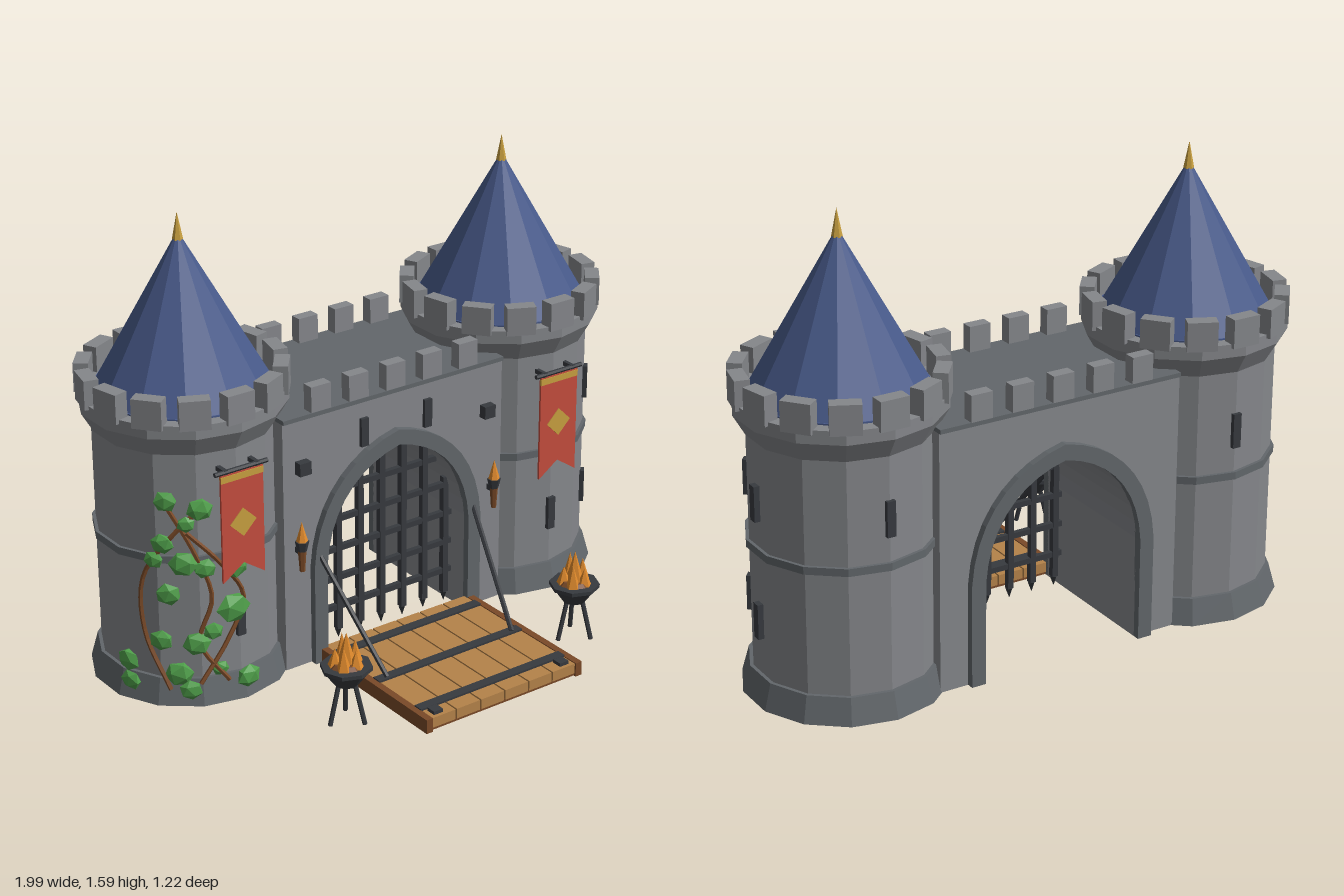
import * as THREE from 'three';

const mat = (name, color) => {
  const m = new THREE.MeshStandardMaterial({ color });
  m.name = name;
  return m;
};

export function createModel() {
  const stone = mat('stone', 0x85878b), darkStone = mat('darkStone', 0x62676b), iron = mat('iron', 0x373a3f);
  const blue = mat('roofBlue', 0x485a8a), gold = mat('gold', 0xc9a040), red = mat('bannerRed', 0xc54d3e);
  const wood = mat('wood', 0xb5834a), darkWood = mat('darkWood', 0x7a4a28);
  const green = mat('leafGreen', 0x4f9f4a), orange = mat('flameOrange', 0xe08a2c);
  const V = (x, y, z) => new THREE.Vector3(x, y, z);
  const root = new THREE.Group();
  root.name = 'castleGate';

  // Faceted mesh helper
  const add = (parent, name, geo, material, x = 0, y = 0, z = 0) => {
    const g = geo.index ? geo.toNonIndexed() : geo;
    g.computeVertexNormals();
    const m = new THREE.Mesh(g, material);
    m.name = name;
    m.position.set(x, y, z);
    parent.add(m);
    return m;
  };
  const box = (p, name, material, w, h, d, x, y, z) =>
    add(p, name, new THREE.BoxGeometry(w, h, d), material, x, y, z);
  // Cylinder given by bottom and top heights
  const cyl = (p, name, material, r0, r1, y0, y1, n, x = 0, z = 0) =>
    add(p, name, new THREE.CylinderGeometry(r1, r0, y1 - y0, n), material, x, (y0 + y1) / 2, z);
  const rod = (p, name, material, a, b, r, n = 6) => {
    const m = add(p, name, new THREE.CylinderGeometry(r, r, a.distanceTo(b), n), material);
    m.position.copy(a).lerp(b, 0.5);
    m.quaternion.setFromUnitVectors(V(0, 1, 0), b.clone().sub(a).normalize());
    return m;
  };
  const group = (name, x, y, z, parent = root) => {
    const g = new THREE.Group();
    g.name = name;
    g.position.set(x, y, z);
    parent.add(g);
    return g;
  };

  // Pointed arch path, up the right jamb and down the left one
  const archPoints = (w, h) => {
    const s = 0.36, k = h - s;
    const c = new THREE.CubicBezierCurve(new THREE.Vector2(w, s), new THREE.Vector2(w * 0.96, s + k * 0.54),
      new THREE.Vector2(w * 0.58, s + k * 0.9), new THREE.Vector2(0, h)).getPoints(9);
    const right = [new THREE.Vector2(w, 0), ...c];
    return [...right, ...right.slice(0, -1).reverse().map(p => new THREE.Vector2(-p.x, p.y))];
  };
  const extrude = (pts, depth) =>
    new THREE.ExtrudeGeometry(new THREE.Shape(pts), { depth, bevelEnabled: false });

  // Towers
  const TX = 0.65, TZ = -0.27;
  const slit = (t, a, y) => {
    const s = box(t, 'arrowSlit', iron, 0.03, 0.12, 0.03, Math.sin(a) * 0.3, y, Math.cos(a) * 0.3);
    s.rotation.y = a;
  };
  for (const side of [-1, 1]) {
    const t = group(side > 0 ? 'leftTower' : 'rightTower', side * TX, 0, TZ);
    cyl(t, 'towerBase', darkStone, 0.34, 0.315, 0, 0.09, 14);
    cyl(t, 'towerBody', stone, 0.303, 0.303, 0.09, 0.9, 14);
    cyl(t, 'towerBand', darkStone, 0.314, 0.314, 0.507, 0.533, 14);
    cyl(t, 'towerFlare', stone, 0.3, 0.343, 0.88, 0.955, 14);
    cyl(t, 'parapet', stone, 0.343, 0.343, 0.955, 1.0, 14);
    for (let i = 0; i < 14; i++) {
      const a = i * Math.PI / 7;
      box(t, 'towerMerlon', stone, 0.1, 0.1, 0.05, Math.sin(a) * 0.32, 1.037, Math.cos(a) * 0.32).rotation.y = a;
    }
    cyl(t, 'roofEave', blue, 0.3, 0.3, 0.99, 1.005, 12);
    cyl(t, 'roof', blue, 0.295, 0, 1.005, 1.525, 12);
    cyl(t, 'finial', gold, 0.018, 0, 1.495, 1.587, 6);
    slit(t, 0, 0.28);
    slit(t, 0, 0.68);
    slit(t, Math.PI, 0.68);
    if (side > 0) for (const a of [Math.PI / 2, 0.87]) for (const y of [0.28, 0.685]) slit(t, a, y);

    // Banner
    const b = group('banner', side * TX, 0, 0.062);
    rod(b, 'bannerRod', iron, V(-0.1, 0.828, 0), V(0.1, 0.828, 0), 0.008);
    for (const x of [-0.06, 0.06]) box(b, 'rodBracket', iron, 0.015, 0.015, 0.06, x, 0.828, -0.025);
    const cloth = [[-0.08, 0.82], [-0.08, 0.44], [0, 0.495], [0.08, 0.44], [0.08, 0.82]].map(p => new THREE.Vector2(...p));
    add(b, 'bannerCloth', extrude(cloth, 0.008), red, 0, 0, -0.004);
    box(b, 'bannerTrim', gold, 0.16, 0.022, 0.009, 0, 0.804, 0.002);
    const diamond = [[-0.05, 0], [0, -0.05], [0.05, 0], [0, 0.05]].map(p => new THREE.Vector2(...p));
    add(b, 'bannerDiamond', extrude(diamond, 0.004), gold, 0, 0.64, 0.003);

    // Wall torch
    const w = group('torch', side * 0.4, 0, 0.03);
    cyl(w, 'torchHandle', darkWood, 0.009, 0.016, 0.37, 0.47, 6);
    cyl(w, 'torchCup', iron, 0.016, 0.024, 0.445, 0.48, 6);
    box(w, 'torchBracket', iron, 0.015, 0.02, 0.04, 0, 0.44, -0.015);
    cyl(w, 'torchFlame', orange, 0.02, 0, 0.48, 0.55, 6);

    // Fire basket on splayed legs
    const f = group('brazier', side * 0.475, 0, 0.38);
    cyl(f, 'bowl', iron, 0.04, 0.08, 0.135, 0.19, 8);
    cyl(f, 'bowlRim', iron, 0.086, 0.086, 0.19, 0.203, 8);
    cyl(f, 'embers', darkWood, 0.06, 0.045, 0.2, 0.215, 8);
    for (let i = 0; i < 3; i++) {
      const a = i * Math.PI * 2 / 3 + 0.5;
      rod(f, 'brazierLeg', iron, V(Math.sin(a) * 0.065, 0, Math.cos(a) * 0.065),
        V(Math.sin(a) * 0.025, 0.16, Math.cos(a) * 0.025), 0.008);
    }
    cyl(f, 'flame', orange, 0.035, 0, 0.2, 0.32, 5);
    for (let i = 0; i < 5; i++) {
      const a = i * 1.257 + 0.4;
      cyl(f, 'flame', orange, 0.026, 0, 0.2, 0.265 + (i % 3) * 0.018, 5, Math.sin(a) * 0.037, Math.cos(a) * 0.037);
    }

    // Small fittings on the gate wall and drawbridge chains
    box(root, 'wallBlock', iron, 0.045, 0.045, 0.04, side * 0.38, 0.733, 0.01);
    box(root, 'wallSlit', iron, 0.03, 0.1, 0.02, side * 0.13, 0.79, 0.003);
    rod(root, 'chain', iron, V(side * 0.325, 0.43, -0.01), V(side * 0.262, 0.055, 0.31), 0.009);
  }

  // Gate wall with an open passage
  const gate = group('gatehouse', 0, 0, 0);
  const opening = archPoints(0.295, 0.715);
  const wall = [[0.45, 0], [0.45, 0.9], [-0.45, 0.9], [-0.45, 0]].map(p => new THREE.Vector2(...p));
  add(gate, 'gateWall', extrude([...wall, ...opening.slice().reverse()], 0.53), stone, 0, 0, -0.53);
  const trim = [...archPoints(0.347, 0.77), ...opening.slice().reverse()];
  add(gate, 'frontArchTrim', extrude(trim, 0.03), darkStone, 0, 0, -0.005);
  add(gate, 'backArchTrim', extrude(trim, 0.03), darkStone, 0, 0, -0.555);
  box(gate, 'deck', darkStone, 0.9, 0.015, 0.545, 0, 0.905, -0.265);
  for (let i = -2; i <= 2; i++) for (const z of [-0.015, -0.517])
    box(gate, 'gateMerlon', stone, 0.078, 0.09, 0.042, i * 0.15, 0.957, z);

  // Portcullis, each bar trimmed to the arch
  const port = group('portcullis', 0, 0, -0.08);
  const half = opening.slice(0, (opening.length + 1) / 2);
  const lookup = (v, from, to) => {
    for (let i = 1; i < half.length; i++) {
      const a = half[i - 1], b = half[i];
      if ((v - a[from]) * (v - b[from]) <= 0 && a[from] !== b[from])
        return a[to] + (b[to] - a[to]) * (v - a[from]) / (b[from] - a[from]);
    }
    return 0;
  };
  for (let i = -3; i <= 3; i++) {
    const top = lookup(Math.abs(i) * 0.09, 'x', 'y');
    box(port, 'verticalBar', iron, 0.022, top - 0.04, 0.022, i * 0.09, (top + 0.04) / 2, 0);
    cyl(port, 'barSpike', iron, 0.001, 0.015, 0.005, 0.04, 4, i * 0.09);
  }
  for (let i = 0; i < 6; i++) {
    const y = 0.125 + i * 0.11, w = lookup(y, 'y', 'x');
    box(port, 'crossBar', iron, w * 2, 0.02, 0.018, 0, y, 0);
  }

  // Drawbridge
  const bridge = group('drawbridge', 0, 0, 0);
  for (let i = 0; i < 6; i++)
    box(bridge, 'plank', wood, 0.094, 0.036, 0.595, (i - 2.5) * 0.1, 0.029, 0.303);
  box(bridge, 'underboard', darkWood, 0.6, 0.014, 0.59, 0, 0.009, 0.303);
  for (const s of [-1, 1]) {
    box(bridge, 'sideBeam', darkWood, 0.025, 0.05, 0.605, s * 0.31, 0.025, 0.303);
    box(bridge, 'chainPlate', iron, 0.036, 0.012, 0.036, s * 0.262, 0.053, 0.57);
  }
  for (const z of [0.077, 0.302, 0.527]) box(bridge, 'strap', iron, 0.6, 0.008, 0.035, 0, 0.05, z);

  // Ivy climbing the right tower
  const ivy = group('ivy', -TX, 0, TZ);
  const onTower = (x, y, off) => {
    const r = (y < 0.1 ? 0.32 : 0.302) + off, dx = Math.max(-r, Math.min(r, x + TX));
    return V(dx, y, Math.sqrt(Math.max(0, r * r - dx * dx)));
  };
  const stems = [
    [[-0.71, 0.08], [-0.79, 0.22], [-0.75, 0.38], [-0.8, 0.55], [-0.87, 0.72]],
    [[-0.88, 0.06], [-0.92, 0.25], [-0.92, 0.45], [-0.86, 0.6], [-0.77, 0.71]],
    [[-0.8, 0.08], [-0.7, 0.22], [-0.64, 0.36], [-0.72, 0.5], [-0.82, 0.62]],
  ];
  for (const s of stems) {
    const curve = new THREE.CatmullRomCurve3(s.map(([x, y]) => onTower(x, y, 0.01)));
    add(ivy, 'ivyStem', new THREE.TubeGeometry(curve, 20, 0.008, 5), darkWood);
  }
  const leaves = [
    [-0.87, 0.73, 0.042], [-0.78, 0.7, 0.045], [-0.82, 0.65, 0.032], [-0.88, 0.58, 0.04], [-0.83, 0.51, 0.05],
    [-0.77, 0.49, 0.04], [-0.67, 0.48, 0.05], [-0.87, 0.4, 0.045], [-0.68, 0.33, 0.062], [-0.8, 0.22, 0.048],
    [-0.89, 0.23, 0.042], [-0.95, 0.13, 0.045], [-0.96, 0.07, 0.04], [-0.85, 0.11, 0.05], [-0.64, 0.075, 0.046],
    [-0.83, 0.06, 0.04], [-0.73, 0.12, 0.03], [-0.9, 0.52, 0.035], [-0.75, 0.26, 0.035],
  ];
  leaves.forEach(([x, y, r], i) => {
    const p = onTower(x, y, 0.012);
    const m = add(ivy, 'ivyLeaves', new THREE.IcosahedronGeometry(r, 0).rotateZ(i * 1.3).scale(1, 0.9, 0.45), green, p.x, p.y, p.z);
    m.rotation.y = Math.atan2(p.x, p.z);
  });

  return root;
}
